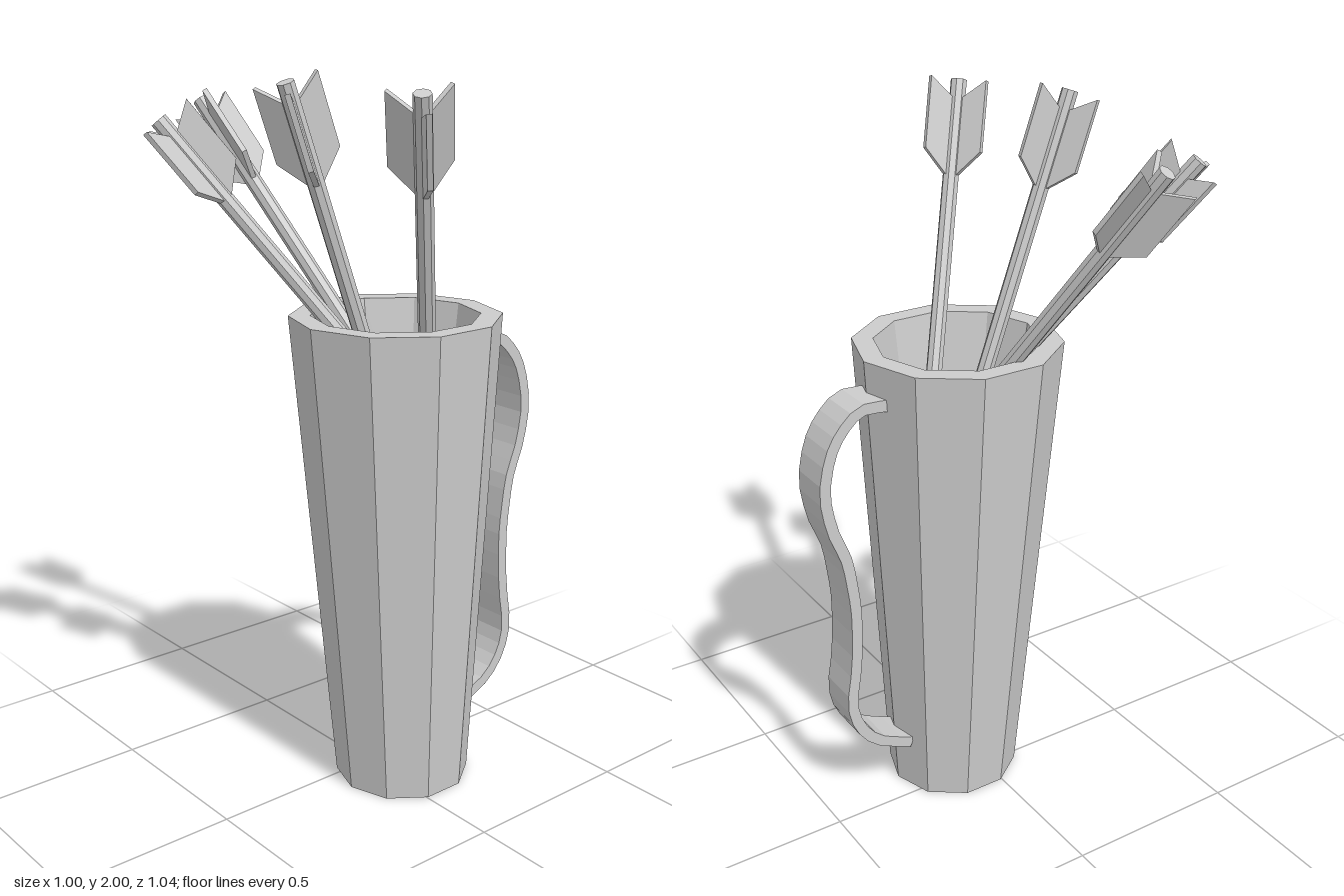
import * as THREE from 'three';

const flat = new THREE.MeshStandardMaterial({ color: 0xcccccc, flatShading: true });
const smooth = new THREE.MeshStandardMaterial({ color: 0xcccccc });

function add(parent, name, geometry, material = flat) {
  const mesh = new THREE.Mesh(geometry, material);
  mesh.name = name;
  parent.add(mesh);
  return mesh;
}

// Ten-sided tapering container, hollow from the top and leaning slightly in x
function quiverGeometry() {
  const profile = [[0, 0], [0.191, 0], [0.287, 1.36], [0.228, 1.36], [0.154, 0.85], [0, 0.85]]
    .map(([r, y]) => new THREE.Vector2(r, y));
  const geo = new THREE.LatheGeometry(profile, 10, Math.PI / 2);
  const p = geo.attributes.position;
  for (let i = 0; i < p.count; i++) {
    p.setX(i, p.getX(i) + 0.063 - 0.034 * p.getY(i) / 1.36);
  }
  return geo;
}

// Wavy strap: a centre line offset to both sides and extruded in z
function handleGeometry() {
  const line = new THREE.SplineCurve([
    [0.27, 1.25], [0.36, 1.257], [0.42, 1.213], [0.46, 1.145], [0.48, 1.04], [0.462, 0.93],
    [0.428, 0.84], [0.413, 0.75], [0.404, 0.65], [0.41, 0.5], [0.428, 0.37],
    [0.405, 0.28], [0.345, 0.212], [0.24, 0.165],
  ].map(([x, y]) => new THREE.Vector2(x, y)));
  const inner = [], outer = [], n = 28, half = 0.016;
  for (let i = 0; i <= n; i++) {
    const c = line.getPoint(i / n), t = line.getTangent(i / n);
    const normal = new THREE.Vector2(-t.y, t.x).multiplyScalar(half);
    outer.push(c.clone().add(normal));
    inner.unshift(c.clone().sub(normal));
  }
  return new THREE.ExtrudeGeometry(new THREE.Shape([...outer, ...inner]),
    { depth: 0.12, bevelEnabled: false });
}

// Slanted feather: swept toward the tail, which lies at y = 0
function vaneGeometry() {
  const shape = new THREE.Shape([[0.012, -0.27], [0.09, -0.2], [0.09, -0.005], [0.012, -0.055]]
    .map(([x, y]) => new THREE.Vector2(x, y)));
  return new THREE.ExtrudeGeometry(shape, { depth: 0.014, bevelEnabled: false })
    .translate(0, 0, -0.007);
}

// Arrow hanging down from its tail; roll is the heading of the first vane
function makeArrow(tail, tip, roll) {
  const top = new THREE.Vector3(...tail), end = new THREE.Vector3(...tip);
  const length = top.distanceTo(end), head = 0.13;
  const arrow = new THREE.Group();
  arrow.name = 'arrow';

  const shaftLength = length - head;
  add(arrow, 'shaft', new THREE.CylinderGeometry(0.023, 0.023, shaftLength, 8)
    .translate(0, -shaftLength / 2, 0));
  add(arrow, 'arrowhead', new THREE.CylinderGeometry(0.032, 0.002, head, 6)
    .translate(0, -length + head / 2, 0));
  const vane = vaneGeometry();
  for (let i = 0; i < 3; i++) {
    add(arrow, 'vane', vane).rotation.y = i * Math.PI * 2 / 3;
  }

  const y = top.clone().sub(end).normalize();
  const a = THREE.MathUtils.degToRad(roll);
  const x = new THREE.Vector3(Math.cos(a), 0, Math.sin(a));
  x.addScaledVector(y, -x.dot(y)).normalize();
  const z = new THREE.Vector3().crossVectors(x, y);
  arrow.quaternion.setFromRotationMatrix(new THREE.Matrix4().makeBasis(x, y, z));
  arrow.position.copy(top);
  return arrow;
}

export function createModel() {
  const model = new THREE.Group();
  model.name = 'quiver with arrows';
  add(model, 'quiver', quiverGeometry()).position.z = 0.088;
  add(model, 'handle', handleGeometry(), smooth).position.z = 0.02;

  // Tail position, tip position, vane heading in degrees
  const arrows = [
    [[-0.205, 1.9, -0.46], [0.13, 0.91, 0.18], -4],
    [[-0.435, 1.865, -0.31], [0.13, 0.98, 0.15], 34],
    [[-0.345, 1.975, 0.115], [0.05, 0.89, 0.115], 6],
    [[-0.21, 1.96, 0.45], [0.13, 0.87, 0.12], 0],
  ];
  for (const spec of arrows) model.add(makeArrow(...spec));
  return model;
}
